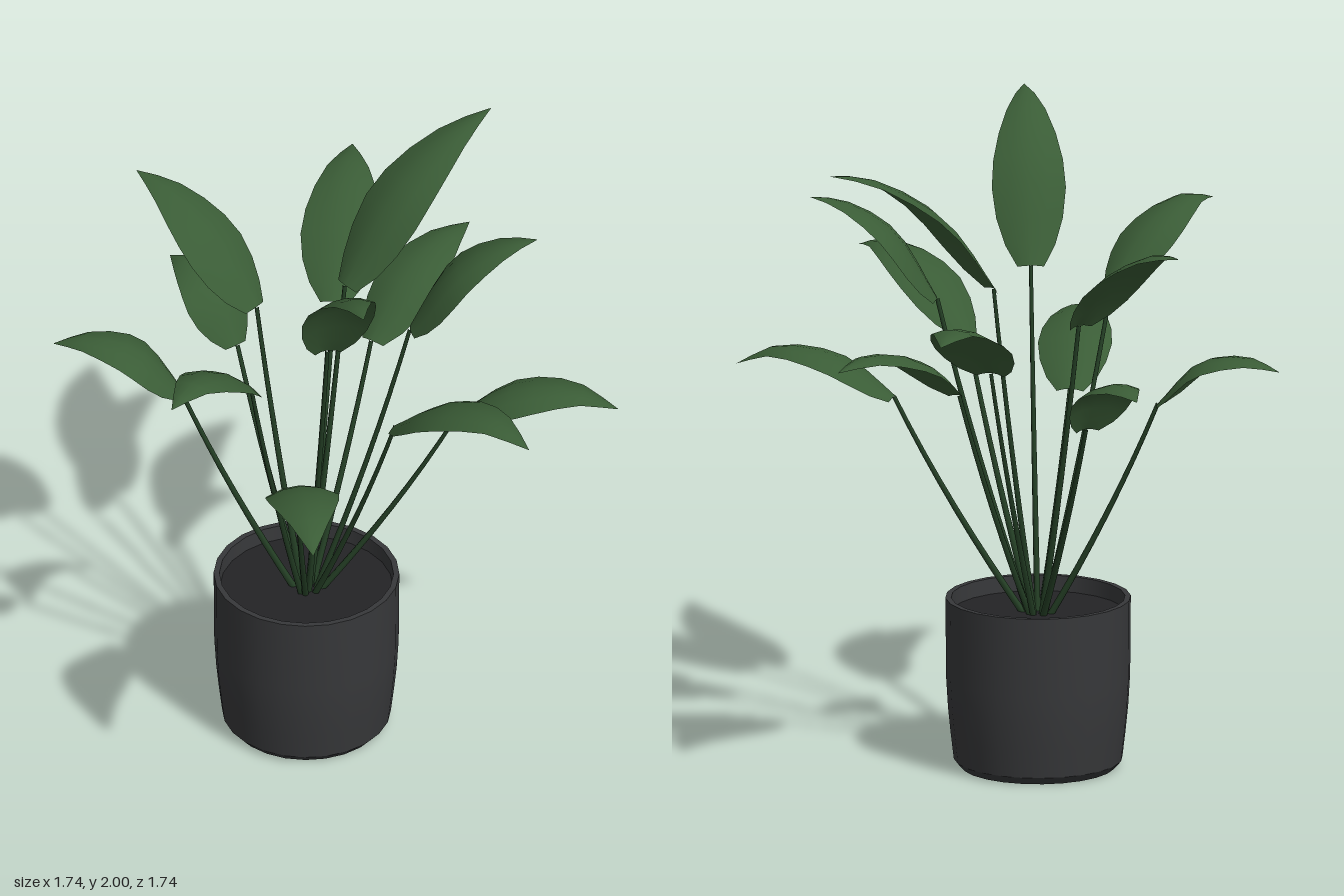
import * as THREE from 'three';

const CENTER = new THREE.Vector3(-0.083, 0, 0.013);
const SOIL_Y = 0.49;

const mat = (color, side = THREE.FrontSide) => new THREE.MeshStandardMaterial({ color, side });
const leafMat = mat(0x3a5c36, THREE.DoubleSide);
const stemMat = mat(0x243f25);
const potMat = mat(0x37383a, THREE.DoubleSide);
const soilMat = mat(0x232325);

// Each leaf: base point, tip point, midrib heights at 35% and 75%, half width
const LEAVES = [
  [[-0.09, 1.335, -0.33], [-0.185, 1.55, -0.87], 1.49, 1.575, 0.125],
  [[0.04, 1.24, -0.29], [0.22, 1.40, -0.77], 1.385, 1.43, 0.11],
  [[0.0, 1.55, -0.13], [0.34, 1.975, -0.59], 1.815, 1.95, 0.125],
  [[0.23, 1.475, -0.06], [0.60, 1.79, -0.20], 1.69, 1.78, 0.12],
  [[0.37, 1.15, -0.08], [0.87, 1.22, -0.17], 1.265, 1.285, 0.11],
  [[0.26, 1.30, 0.21], [0.76, 1.47, 0.46], 1.46, 1.515, 0.115],
  [[0.04, 1.54, 0.21], [0.28, 1.995, 0.645], 1.84, 1.98, 0.115],
  [[-0.015, 1.115, 0.37], [0.18, 1.23, 0.865], 1.25, 1.285, 0.115],
  [[-0.16, 1.465, 0.37], [-0.29, 1.66, 0.815], 1.62, 1.69, 0.11],
  [[-0.47, 1.19, 0.07], [-0.87, 1.325, 0.11], 1.335, 1.36, 0.105],
  [[-0.27, 1.45, -0.08], [-0.71, 1.755, -0.27], 1.64, 1.745, 0.12],
  [[-0.38, 1.17, -0.25], [-0.65, 1.33, -0.44], 1.33, 1.36, 0.11],
];

// Leaf outline: [distance along midrib, relative width]
const OUTLINE = [[0, 0.36], [0.1, 0.68], [0.22, 0.9], [0.36, 1], [0.5, 0.94],
  [0.64, 0.77], [0.78, 0.52], [0.9, 0.26], [1, 0.01]];
const ACROSS = [-1, -0.5, 0, 0.5, 1];

// Arched blade with drooping edges, lofted along its midrib
function leafGeometry(base, tip, y1, y2, halfWidth) {
  const rib = new THREE.CatmullRomCurve3([base, base.clone().lerp(tip, 0.35).setY(y1),
    base.clone().lerp(tip, 0.75).setY(y2), tip]);
  const side = new THREE.Vector3(tip.z - base.z, 0, base.x - tip.x).normalize();
  const positions = [], indices = [];
  OUTLINE.forEach(([t, w], row) => {
    const p = rib.getPointAt(t);
    const up = rib.getTangentAt(t).cross(side).normalize();
    for (const s of ACROSS) {
      const v = p.clone().addScaledVector(side, s * w * halfWidth)
        .addScaledVector(up, -0.032 * s * s * w);
      positions.push(v.x, v.y, v.z);
    }
    if (row === 0) return;
    const n = ACROSS.length;
    for (let i = 0; i < n - 1; i++) {
      const a = (row - 1) * n + i, b = a + 1, c = a + n, d = c + 1;
      indices.push(a, c, b, b, c, d);
    }
  });
  const geo = new THREE.BufferGeometry();
  geo.setAttribute('position', new THREE.Float32BufferAttribute(positions, 3));
  geo.setIndex(indices);
  geo.computeVertexNormals();
  return geo;
}

// Tapering stalk from the soil to the leaf base, bowed slightly outwards
function stemGeometry(base) {
  const out = new THREE.Vector3(base.x - CENTER.x, 0, base.z - CENTER.z);
  const root = CENTER.clone().setY(SOIL_Y - 0.02).addScaledVector(out, 0.08);
  const ctrl = root.clone().lerp(base, 0.5).addScaledVector(out, 0.08);
  const curve = new THREE.QuadraticBezierCurve3(root, ctrl, base);
  const segments = 8, sides = 6;
  const geo = new THREE.TubeGeometry(curve, segments, 0.011, sides);
  const pos = geo.attributes.position, v = new THREE.Vector3();
  for (let i = 0; i < pos.count; i++) {
    const t = Math.floor(i / (sides + 1)) / segments;
    const c = curve.getPointAt(t);
    v.fromBufferAttribute(pos, i).sub(c).multiplyScalar(1 - 0.4 * t).add(c);
    pos.setXYZ(i, v.x, v.y, v.z);
  }
  return geo;
}

function add(group, name, geometry, material) {
  const mesh = new THREE.Mesh(geometry, material);
  mesh.name = name;
  group.add(mesh);
  return mesh;
}

const lathe = (points) =>
  new THREE.LatheGeometry(points.map(([r, y]) => new THREE.Vector2(r, y)), 24);

export function createModel() {
  const plant = new THREE.Group();
  plant.name = 'pottedPlant';

  // Hollow pot, open underneath, in sections so the rim and foot edges stay sharp
  const pot = new THREE.Group();
  pot.name = 'pot';
  pot.position.copy(CENTER);
  plant.add(pot);
  add(pot, 'potFoot', lathe([[0.24, 0], [0.262, 0.025]]), potMat);
  add(pot, 'potWall', lathe([[0.262, 0.025], [0.272, 0.11], [0.28, 0.19],
    [0.286, 0.29], [0.288, 0.54]]), potMat);
  add(pot, 'potRim', lathe([[0.288, 0.54], [0.27, 0.54]]), potMat);
  add(pot, 'potInside', lathe([[0.27, 0.54], [0.268, SOIL_Y - 0.01]]), potMat);
  const soil = add(pot, 'soil', new THREE.CircleGeometry(0.27, 24), soilMat);
  soil.rotation.x = -Math.PI / 2;
  soil.position.y = SOIL_Y;

  // Stems and leaves
  for (const [b, t, y1, y2, halfWidth] of LEAVES) {
    const base = new THREE.Vector3(...b), tip = new THREE.Vector3(...t);
    const frond = new THREE.Group();
    frond.name = 'frond';
    add(frond, 'stem', stemGeometry(base), stemMat);
    add(frond, 'leaf', leafGeometry(base, tip, y1, y2, halfWidth), leafMat);
    plant.add(frond);
  }
  return plant;
}
